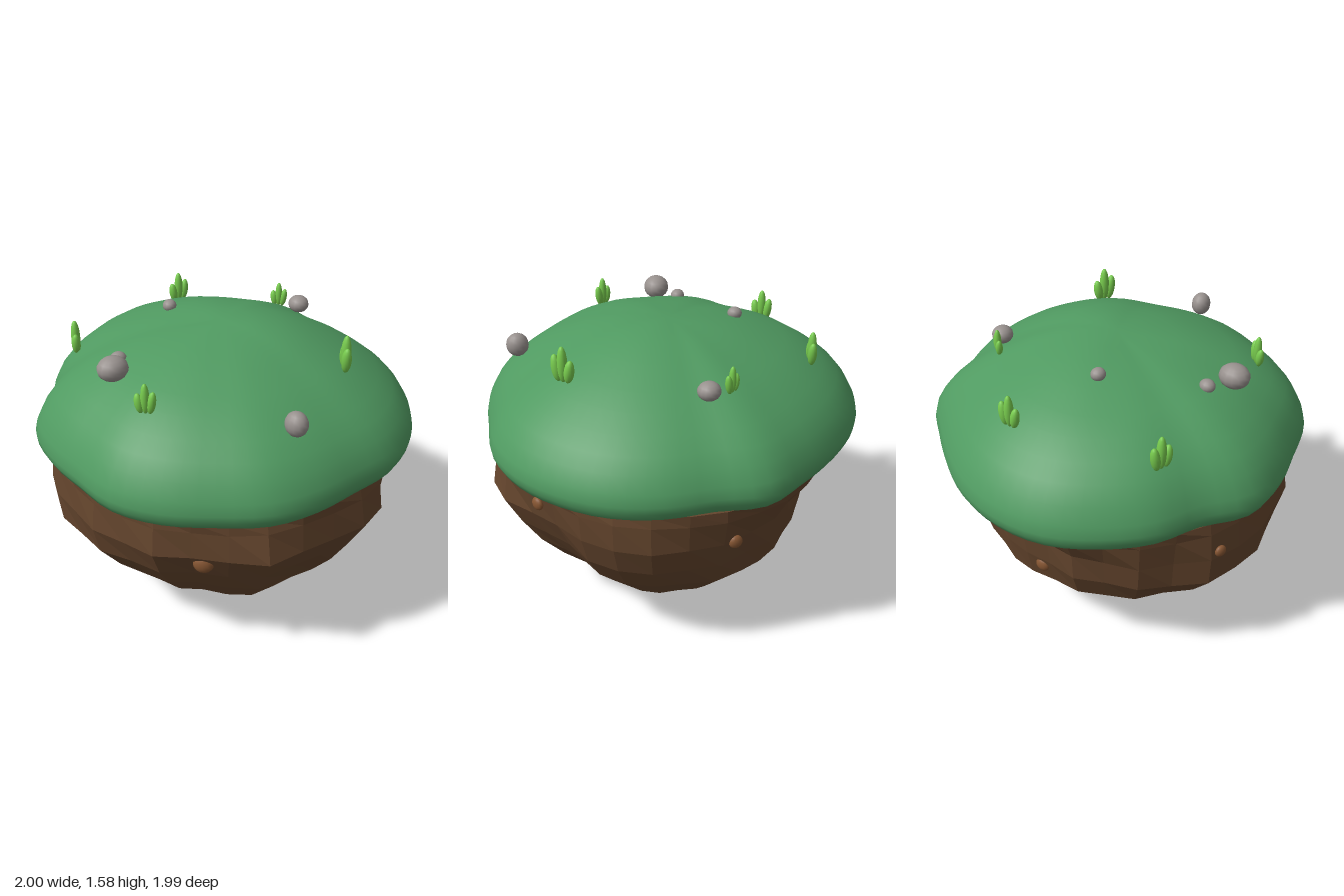
import * as THREE from 'three';
import { mergeVertices } from 'three/addons/utils/BufferGeometryUtils.js';

const mat = (color, flatShading = false) => new THREE.MeshStandardMaterial({ color, flatShading });
const green = mat(0x509a61), brown = mat(0x64452d, true), clodBrown = mat(0x855532);
const grey = mat(0x98918e), leaf = mat(0x78cc4e);
const TAU = Math.PI * 2;

// Rim radius of the grass cap every 15 degrees, from +x towards +z
const rim = [1, 1.01, 1.015, 1, 0.96, 0.975, 0.995, 0.98, 1, 1.005, 0.97, 0.985,
  1, 0.935, 0.98, 1.005, 1.03, 1.02, 0.99, 0.955, 0.95, 0.985, 0.935, 0.97];

// Smooth closed interpolation through a list of values
function around(list, angle) {
  const n = list.length, t = (((angle / TAU) % 1) + 1) % 1 * n;
  const i = Math.floor(t), f = t - i, at = (k) => list[(i + k + n) % n];
  const [a, b, c, d] = [at(-1), at(0), at(1), at(2)];
  return b + 0.5 * f * (c - a + f * (2 * a - 5 * b + 4 * c - d + f * (3 * (b - c) + d - a)));
}

// Grass cap profile, underside first, then up over the dome
const capProfile = [[0, 0.945], [0.5, 0.945], [0.86, 0.94], [0.93, 0.94], [0.975, 0.96], [0.995, 1.0], [1, 1.04],
  [0.985, 1.1], [0.94, 1.18], [0.88, 1.25], [0.8, 1.315], [0.7, 1.38], [0.6, 1.43],
  [0.45, 1.492], [0.3, 1.535], [0.15, 1.555], [0, 1.562]];

// Gentle unevenness of the dome: peak towards +x, fuller shoulder towards -x
const lump = (r, a) => 4 * r * (1 - r) * (0.04 * (1 - 2 * r) * Math.cos(a) + 0.005 * Math.sin(3 * a + 0.6));

// Height of the dome above a point
function domeY(x, z) {
  const a = Math.atan2(z, x), r = Math.hypot(x, z) / around(rim, a);
  const i = capProfile.findIndex(([ri], k) => k > 6 && r >= ri);
  const [r0, y0] = capProfile[i - 1], [r1, y1] = capProfile[i];
  return y0 + (y1 - y0) * (r0 - r) / (r0 - r1) + lump(r, a);
}

// Lathe whose vertices are then moved by a rule
function shapedLathe(profile, segments, rule) {
  let g = new THREE.LatheGeometry(profile.map(([r, y]) => new THREE.Vector2(r, y)), segments);
  const p = g.attributes.position, v = new THREE.Vector3();
  for (let i = 0; i < p.count; i++) {
    v.fromBufferAttribute(p, i);
    rule(v, Math.atan2(v.z, v.x), i % profile.length);
    p.setXYZ(i, v.x, v.y, v.z);
  }
  g.deleteAttribute('uv');
  g.deleteAttribute('normal');
  g = mergeVertices(g, 1e-4);
  g.computeVertexNormals();
  return g;
}

// Earth rows from the bottom up: height, radius towards +x, +z, -x, -z, roughness
const rows = [
  [0.005, 0, 0, 0, 0, 0], [0.02, 0.17, 0.17, 0.17, 0.16, 0.03], [0.075, 0.33, 0.32, 0.32, 0.31, 0.045],
  [0.16, 0.51, 0.5, 0.48, 0.46, 0.055], [0.28, 0.63, 0.65, 0.63, 0.59, 0.06], [0.42, 0.77, 0.75, 0.79, 0.71, 0.06],
  [0.58, 0.87, 0.85, 0.92, 0.74, 0.055], [0.74, 0.93, 0.95, 0.93, 0.76, 0.05], [0.89, 0.93, 0.93, 0.92, 0.88, 0.02],
  [0.955, 0.925, 0.925, 0.915, 0.92, 0], [0.955, 0, 0, 0, 0, 0]];

// How far each of the 32 columns stands out, from +x towards +z
const ridges = [0.3, -0.2, -1.2, -0.9, 0.4, 0.6, -0.2, -0.1, 0.8, 0.1, -0.6, 0.2, -0.3, 0.2, -0.3, 0.3,
  0.2, 0.4, -0.3, 0.3, -0.2, 0.3, -0.3, 0.1, 0.3, -0.3, 0.2, 0.4, 0.1, 0.4, -0.1, 0.3];

// Ridged radius of the earth
function earthRadius(row, a) {
  const c = Math.cos(a), s = Math.sin(a), k = rows[row];
  const base = c * c * (c > 0 ? k[1] : k[3]) + s * s * (s > 0 ? k[2] : k[4]);
  const column = (Math.round(a / TAU * 32) + 32) % 32;
  return base * (1 + k[5] * (ridges[column] + 0.2 * ridges[(column * 7 + row * 5) % 32]));
}

function ball(name, material, [x, y, z], [sx, sy, sz], turn = 0) {
  const m = new THREE.Mesh(new THREE.SphereGeometry(1, 14, 10), material);
  m.name = name;
  m.position.set(x, y, z);
  m.scale.set(sx, sy, sz);
  m.rotation.y = turn;
  return m;
}

// Three plump upright blades in a short row
function grassTuft(x, z, turn, size) {
  const tuft = new THREE.Group();
  tuft.name = 'grassTuft';
  for (const [side, height] of [[-1, 0.115], [0, 0.175], [1, 0.13]]) {
    const blade = ball('grassBlade', leaf, [side * 0.034, height / 2, 0], [0.024, height / 2, 0.024]);
    blade.rotation.z = -side * 0.16;
    tuft.add(blade);
  }
  tuft.position.set(x, domeY(x, z) - 0.005, z);
  tuft.rotation.y = turn;
  tuft.scale.setScalar(size);
  return tuft;
}

export function createModel() {
  const island = new THREE.Group();
  island.name = 'floatingIsland';

  // Grass cap with a wavy rim and an uneven top
  const cap = new THREE.Mesh(shapedLathe(capProfile, 72, (v, a) => {
    const r = Math.hypot(v.x, v.z), k = around(rim, a);
    v.x *= k;
    v.z *= k;
    if (v.y > 1.1) v.y += lump(r, a);
  }), green);
  cap.name = 'grassCap';
  island.add(cap);

  // Faceted earth underneath, closed by a flat lid
  const earth = new THREE.Mesh(shapedLathe(rows.map((k) => [1, k[0]]), 32, (v, a, row) => {
    const r = earthRadius(row, a);
    v.x = r * Math.cos(a);
    v.z = r * Math.sin(a);
  }), brown);
  earth.name = 'earthBase';
  island.add(earth);

  // Stones on the grass
  const stones = [
    [[-0.6, 1.475, 0.24], [0.08, 0.063, 0.07], 0.3],
    [[-0.555, 1.455, 0.1], [0.042, 0.034, 0.038], 0],
    [[-0.22, 1.527, -0.305], [0.037, 0.033, 0.039], 0],
    [[0.52, 1.442, -0.35], [0.056, 0.047, 0.058], 0.4],
    [[0.165, 1.378, 0.78], [0.053, 0.063, 0.06], 0.5]];
  for (const [pos, size, turn] of stones) island.add(ball('stone', grey, pos, size, turn));

  // Clods set into the earth: angle in degrees, row below, height, radius
  for (const [deg, row, y, size] of [[109, 6, 0.69, 0.052], [29, 7, 0.84, 0.036], [-38, 6, 0.735, 0.036],
    [-108, 5, 0.53, 0.04], [188, 7, 0.78, 0.032]]) {
    const a = deg * Math.PI / 180, t = (y - rows[row][0]) / (rows[row + 1][0] - rows[row][0]);
    const r = earthRadius(row, a) * (1 - t) + earthRadius(row + 1, a) * t;
    island.add(ball('clod', clodBrown, [r * Math.cos(a), y, r * Math.sin(a)], [size * 0.6, size, size], -a));
  }

  // Grass tufts
  for (const t of [[-0.09, -0.74, 0.27, 0.98], [0.43, -0.44, -0.4, 0.78], [-0.73, -0.36, 1.5, 1.02],
    [0.54, 0.37, -1.8, 1.08], [-0.49, 0.53, -0.41, 0.9]]) island.add(grassTuft(...t));

  return island;
}
